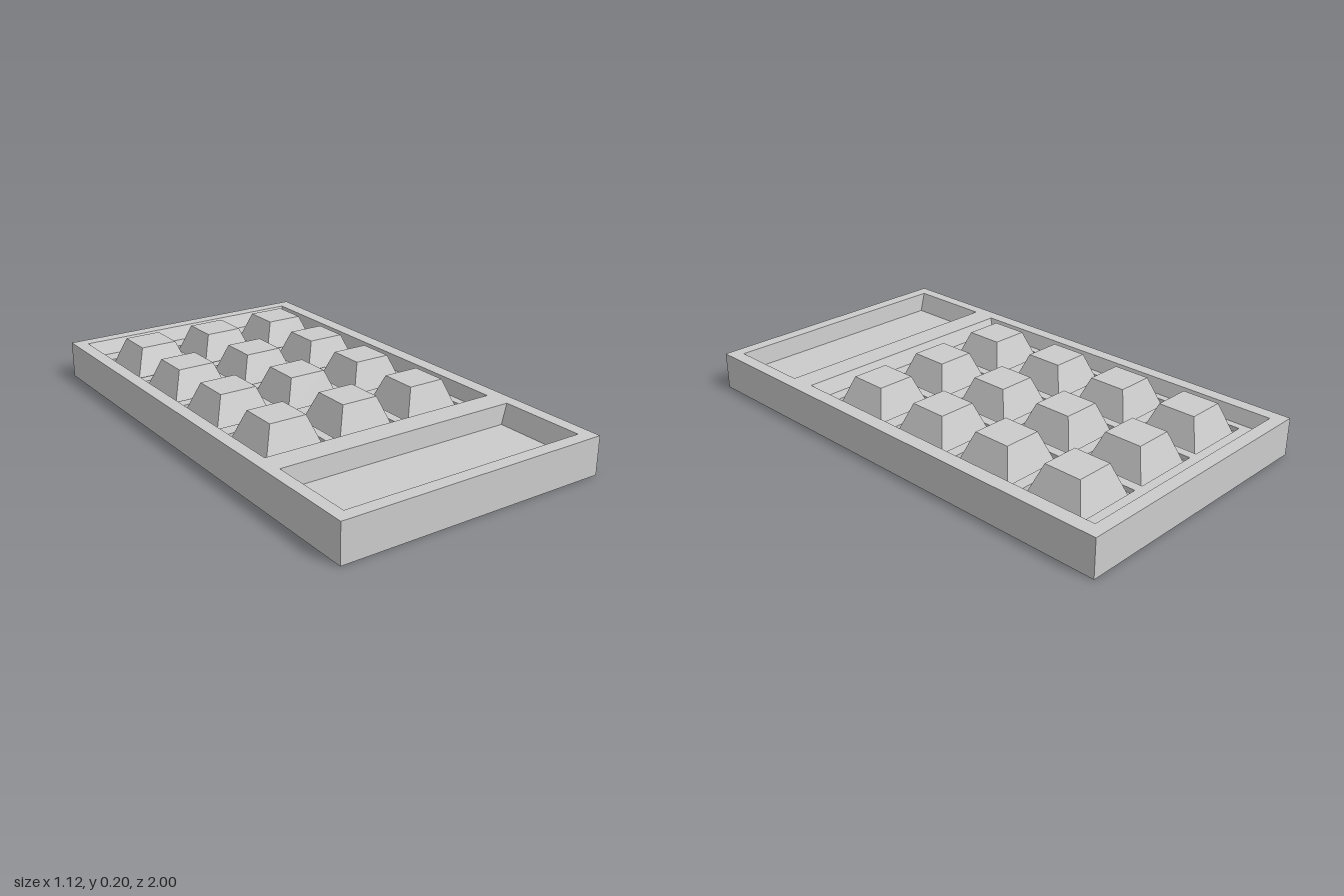
import * as THREE from 'three';
import { mergeGeometries } from 'three/addons/utils/BufferGeometryUtils.js';

const TOP = 0.153, PAD_Y = 0.095, WELL_Y = 0.075, SCREEN_Y = 0.074, KEY_TOP = 0.2;

// A rectangle as [x0, z0, x1, z1]
const square = (x, z, half) => [x - half, z - half, x + half, z + half];

function outline([x0, z0, x1, z1], Path) {
  return new Path([[x0, -z1], [x1, -z1], [x1, -z0], [x0, -z0]].map(([x, y]) => new THREE.Vector2(x, y)));
}

// Flat upward-facing rectangle with rectangular holes
function plate(rect, y, holes = []) {
  const shape = outline(rect, THREE.Shape);
  shape.holes = holes.map((h) => outline(h, THREE.Path));
  const g = new THREE.ShapeGeometry(shape).rotateX(-Math.PI / 2).translate(0, y, 0).toNonIndexed();
  g.deleteAttribute('uv');
  return g;
}

// Four walls joining two rectangles: from top to bottom they face outward, from bottom to top inward
function walls(a, ya, b, yb) {
  const corners = ([x0, z0, x1, z1], y) => [[x0, y, z0], [x1, y, z0], [x1, y, z1], [x0, y, z1]];
  const A = corners(a, ya), B = corners(b, yb), pos = [];
  for (let i = 0; i < 4; i++) {
    const j = (i + 1) % 4;
    pos.push(...A[i], ...A[j], ...B[j], ...A[i], ...B[j], ...B[i]);
  }
  const g = new THREE.BufferGeometry();
  g.setAttribute('position', new THREE.Float32BufferAttribute(pos, 3));
  g.computeVertexNormals();
  return g;
}

export function createModel() {
  const group = new THREE.Group();
  const material = new THREE.MeshStandardMaterial({ color: 0xcccccc, flatShading: true });
  const add = (name, ...parts) => {
    const mesh = new THREE.Mesh(mergeGeometries(parts), material);
    mesh.name = name;
    group.add(mesh);
  };

  const body = [-0.562, -1, 0.562, 1];
  const padRim = [-0.508, -0.947, 0.502, 0.492], padFloor = [-0.49, -0.926, 0.487, 0.471];
  const screenRim = [-0.513, 0.593, 0.508, 0.947], screenFloor = [-0.487, 0.598, 0.482, 0.942];

  const centres = [];
  for (const z of [-0.714, -0.389, -0.064, 0.275])
    for (const x of [-0.32, -0.004, 0.314]) centres.push([x, z]);
  const wells = centres.map(([x, z]) => square(x, z, 0.139));

  // Case: outer walls, underside and the face with its two openings
  const underside = plate(body, 0).rotateX(Math.PI);
  add('case', walls(body, TOP, body, 0), underside, plate(body, TOP, [padRim, screenRim]));

  // Sunken keypad tray with a square well under every key
  add('keypadTray', walls(padFloor, PAD_Y, padRim, TOP), plate(padFloor, PAD_Y, wells));
  add('keyWells', ...wells.flatMap((w) => [walls(w, WELL_Y, w, PAD_Y), plate(w, WELL_Y)]));

  // Sunken display panel
  add('displayRecess', walls(screenFloor, SCREEN_Y, screenRim, TOP), plate(screenFloor, SCREEN_Y));

  // Tapered keys
  for (const [x, z] of centres) {
    const top = square(x, z, 0.077);
    add('key', walls(top, KEY_TOP, square(x, z, 0.124), WELL_Y), plate(top, KEY_TOP));
  }
  return group;
}
